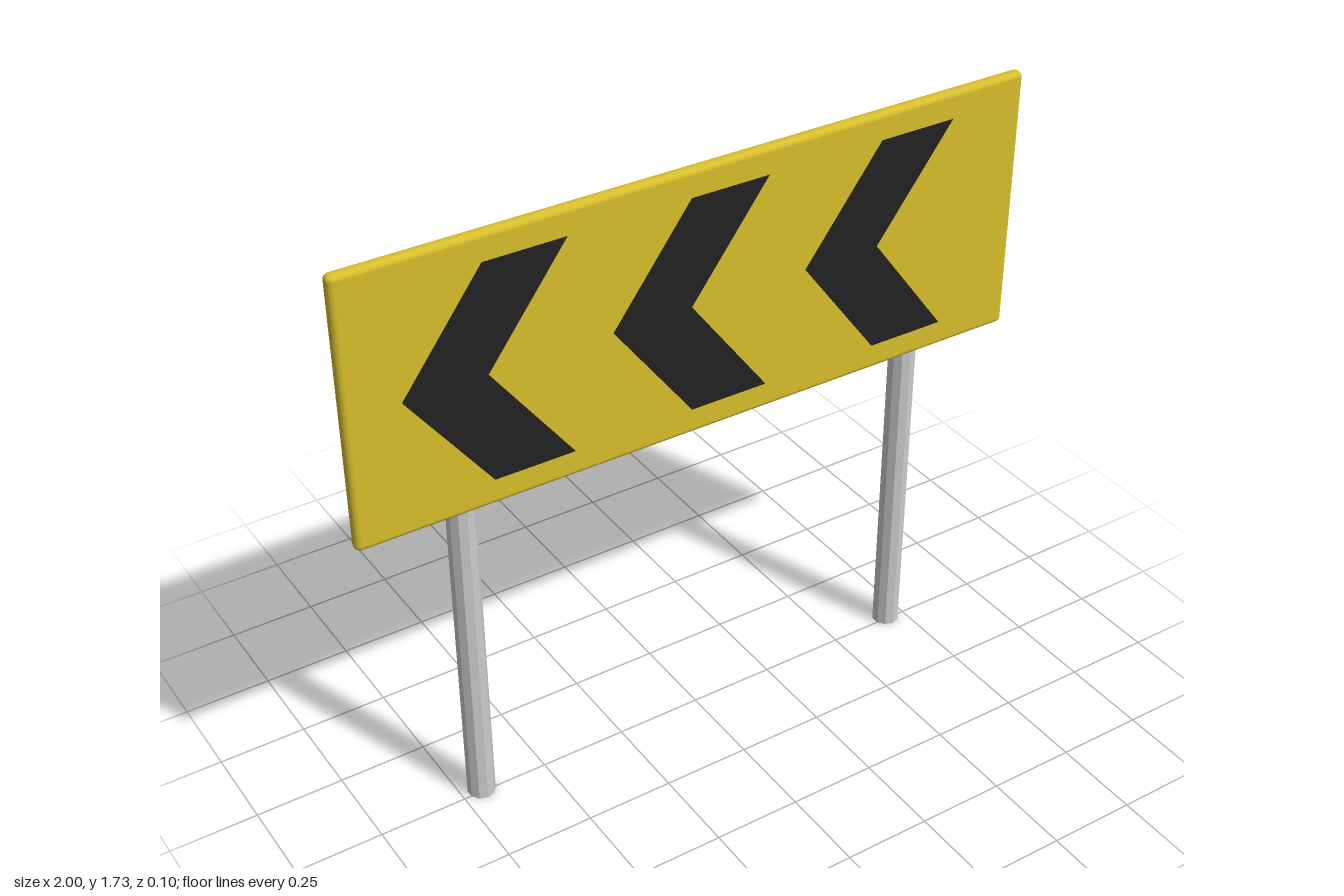
import * as THREE from 'three';
import { RoundedBoxGeometry } from 'three/addons/geometries/RoundedBoxGeometry.js';

const BOARD = { width: 2, height: 0.764, depth: 0.037, y: 1.35, z: 0.0265 };
const POST = { radius: 0.039, height: 1.386, x: 0.692, z: -0.011 };

export function createModel() {
  const model = new THREE.Group();
  model.name = 'chevronRoadSign';
  const yellow = new THREE.MeshStandardMaterial({ color: 0xd8be2c });
  const black = new THREE.MeshStandardMaterial({ color: 0x222222, side: THREE.DoubleSide });
  const grey = new THREE.MeshStandardMaterial({ color: 0xcccccc, flatShading: true });

  const add = (name, geometry, material, x, y, z) => {
    const mesh = new THREE.Mesh(geometry, material);
    mesh.name = name;
    mesh.position.set(x, y, z);
    model.add(mesh);
  };

  // Sign panel with softly rounded edges
  add('board', new RoundedBoxGeometry(BOARD.width, BOARD.height, BOARD.depth, 3, 0.016),
    yellow, 0, BOARD.y, BOARD.z);

  // Three flat arrows pointing towards -x, just proud of the panel
  const w = 0.23, h = 0.307;
  const arrow = new THREE.Shape([
    [-w, 0], [0, -h], [w, -h], [0, 0], [w, h], [0, h],
  ].map(([x, y]) => new THREE.Vector2(x, y)));
  const arrowGeometry = new THREE.ShapeGeometry(arrow);
  for (let i = 0; i < 3; i++) {
    add(`chevron${i + 1}`, arrowGeometry, black,
      -0.618 + i * 0.578, BOARD.y, BOARD.z + BOARD.depth / 2 + 0.001);
  }

  // Two ten-sided posts behind the panel
  const postGeometry = new THREE.CylinderGeometry(POST.radius, POST.radius, POST.height, 10);
  for (const [name, side] of [['leftPost', 1], ['rightPost', -1]]) {
    add(name, postGeometry, grey, side * POST.x, POST.height / 2, POST.z);
  }

  return model;
}
